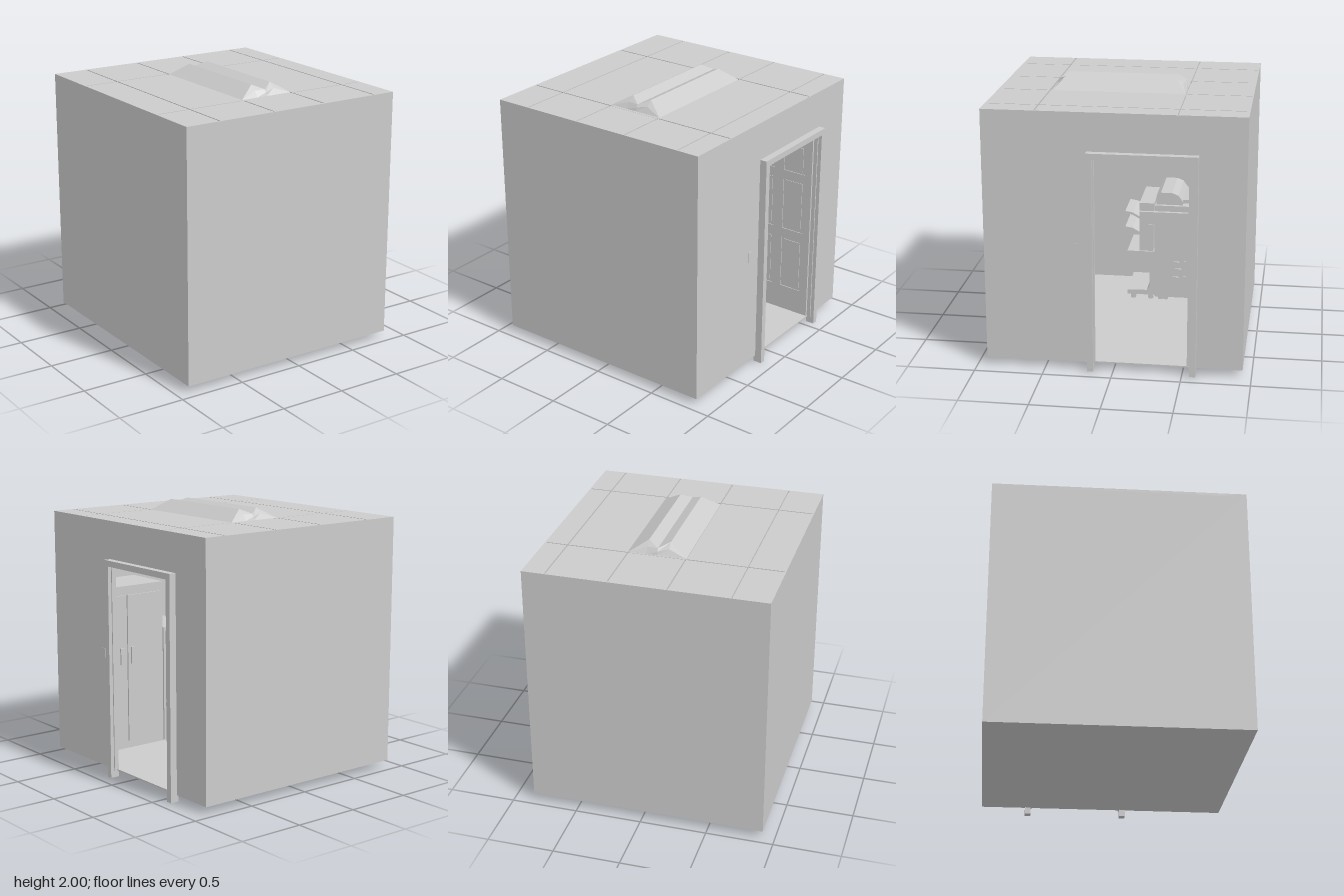
import * as THREE from 'three';

const grey = new THREE.MeshStandardMaterial({ color: 0xcccccc, flatShading: true, side: THREE.DoubleSide });

function add(parent, name, geo) {
  const m = new THREE.Mesh(geo, grey);
  m.name = name;
  parent.add(m);
  return m;
}

// Box given by its limits on each axis
function box(parent, name, x0, x1, y0, y1, z0, z1) {
  const m = add(parent, name, new THREE.BoxGeometry(x1 - x0, y1 - y0, z1 - z0));
  m.position.set((x0 + x1) / 2, (y0 + y1) / 2, (z0 + z1) / 2);
  return m;
}

// Outline in (z, y), extruded from x0 to x1
function profile(parent, name, pts, x0, x1) {
  const shape = new THREE.Shape(pts.map(([z, y]) => new THREE.Vector2(z, y)));
  const m = add(parent, name, new THREE.ExtrudeGeometry(shape, { depth: x1 - x0, bevelEnabled: false }));
  m.rotation.y = -Math.PI / 2;
  m.position.x = x1;
  return m;
}

function group(parent, name) {
  const g = new THREE.Group();
  g.name = name;
  parent.add(g);
  return g;
}

// Upside-down U around the doorway
const arch = (zA, zB, y0, y1, w) => [
  [zA, y0], [zA + w, y0], [zA + w, y1 - w], [zB - w, y1 - w], [zB - w, y0], [zB, y0], [zB, y1], [zA, y1],
];

const W0 = -0.91, W1 = 0.855, D = 0.935, FLOOR = 0.05, TOP = 1.92, T = 0.01;

function buildShell(root) {
  const g = group(root, 'room');
  box(g, 'floor', W0, W1, FLOOR, FLOOR + T, -D, D);
  box(g, 'frontWall', W0, W1, FLOOR, TOP, D - T, D);
  box(g, 'backWall', W0, W1, FLOOR, TOP, -D, -D + T);
  box(g, 'rightWall', W0, W0 + T, FLOOR, TOP, -D, D);
  profile(g, 'doorWall', [
    [-D, FLOOR], [-0.56, FLOOR], [-0.56, 1.61], [0.15, 1.61], [0.15, FLOOR], [D, FLOOR], [D, TOP], [-D, TOP],
  ], W1 - T, W1);
  box(g, 'lightSwitch', W1, W1 + 0.004, 0.88, 0.96, 0.262, 0.308);
}

function buildCeiling(root) {
  const g = group(root, 'ceiling');
  const xs = [W0, -0.642, -0.192, 0.232, 0.684, W1], zs = [-D, -0.452, 0.552, D], gap = 0.005;
  for (let i = 0; i < 5; i++) {
    for (let j = 0; j < 3; j++) {
      if (i === 2 && j === 1) continue; // bay of the light
      box(g, 'ceilingTile',
        xs[i] + (i ? gap : 0), xs[i + 1] - (i < 4 ? gap : 0), TOP - 0.02, TOP,
        zs[j] + (j ? gap : 0), zs[j + 1] - (j < 2 ? gap : 0));
    }
  }
  for (const x of xs.slice(1, 5)) box(g, 'longGridBar', x - 0.012, x + 0.012, 1.892, 1.902, -D, D);
  for (const z of zs.slice(1, 3)) box(g, 'crossGridBar', W0, W1, 1.893, 1.903, z - 0.012, z + 0.012);

  // Light housing: twin-ridged roof with sloping ends
  const px = [-0.192, -0.06, 0.02, 0.1, 0.232], rise = [0, 0.08, 0.045, 0.08, 0];
  const inset = [0, 0.078, 0.024, 0.078, 0], z0 = -0.443, z1 = 0.535;
  const pos = [], idx = [];
  const rows = [[z0, 0, 0], [z0, 0.55, 0.4], [z0, 1, 1], [z1, 1, -1], [z1, 0.55, -0.4], [z1, 0, 0]];
  for (const [z, h, s] of rows) px.forEach((x, i) => pos.push(x, TOP + rise[i] * h, z + inset[i] * s));
  for (let r = 0; r < rows.length - 1; r++) {
    for (let i = 0; i < 4; i++) {
      const a = r * 5 + i, b = a + 5;
      idx.push(a, b, a + 1, a + 1, b, b + 1);
    }
  }
  const geo = new THREE.BufferGeometry();
  geo.setAttribute('position', new THREE.Float32BufferAttribute(pos, 3));
  geo.setIndex(idx);
  geo.computeVertexNormals();
  add(g, 'lightHousing', geo);
  box(g, 'lightLens', px[0], px[4], TOP - 0.02, TOP - 0.005, z0, z1 + 0.01);
}

function buildDoor(root) {
  const g = group(root, 'doorway');
  profile(g, 'doorCasing', arch(-0.6, 0.187, 0, 1.64, 0.044), 0.84, 0.908);
  profile(g, 'doorStop', arch(-0.557, 0.144, FLOOR, 1.605, 0.01), 0.845, 0.88);

  // Leaf standing open into the room
  const leaf = group(g, 'doorLeaf');
  const z0 = -0.552, z1 = -0.532, x0 = 0.22, x1 = 0.85;
  box(leaf, 'doorCore', x0, x1, 0.055, 1.59, z0 + 0.006, z1 - 0.006);
  const cols = [[0.335, 0.525], [0.605, 0.79]], rows = [[0.26, 0.69], [0.76, 1.19], [1.25, 1.48]];
  const stiles = [[x0, cols[0][0]], [cols[0][1], cols[1][0]], [cols[1][1], x1]];
  for (const [a, b] of stiles) box(leaf, 'doorStile', a, b, 0.055, 1.59, z0, z1);
  const rails = [[0.055, 0.26], [0.69, 0.76], [1.19, 1.25], [1.48, 1.59]];
  for (const [a, b] of cols) {
    for (const [c, d] of rails) box(leaf, 'doorRail', a, b, c, d, z0, z1);
    for (const [c, d] of rows) box(leaf, 'doorPanel', a + 0.02, b - 0.02, c + 0.02, d - 0.02, z0 + 0.001, z1 - 0.001);
  }
  for (const z of [z0 - 0.014, z1 + 0.014]) {
    const knob = add(leaf, 'doorKnob', new THREE.SphereGeometry(0.018, 12, 8));
    knob.position.set(x0 + 0.04, 0.82, z);
  }
}

function buildCopier(root) {
  const g = group(root, 'copier');
  const a = -0.84, b = -0.36;
  box(g, 'copierBody', a, b, 0.11, 0.72, -0.64, -0.155);
  box(g, 'copierBase', a + 0.02, b - 0.02, 0.095, 0.11, -0.62, -0.16);
  for (const y of [0.235, 0.3, 0.363]) {
    box(g, 'ventFrame', b, b + 0.006, y, y + 0.05, -0.41, -0.292);
    box(g, 'ventCover', b, b + 0.009, y + 0.006, y + 0.044, -0.404, -0.298);
  }
  // Sorter on its C-shaped stand
  profile(g, 'sorterStand', [
    [-0.155, 0.1], [0.068, 0.1], [0.068, 0.135], [-0.09, 0.14], [-0.113, 0.17], [-0.113, 0.41],
    [-0.1, 0.427], [0.068, 0.427], [0.068, 0.47], [-0.155, 0.47],
  ], a + 0.04, b - 0.04);
  profile(g, 'sorterHead', [
    [-0.145, 0.49], [-0.033, 0.49], [-0.033, 0.815], [-0.49, 0.815], [-0.5, 0.73],
    [-0.4, 0.72], [-0.145, 0.72],
  ], a, b);
  box(g, 'sorterPanel', b, b + 0.005, 0.6, 0.715, -0.14, -0.075);
  box(g, 'sorterTop', a + 0.03, b - 0.01, 0.82, 0.885, -0.15, -0.033);
  for (const y of [0.745, 0.615]) {
    profile(g, 'outputTray', [[-0.033, y], [0.03, y + 0.035], [0.09, y + 0.045], [0.09, y + 0.033],
      [0.03, y + 0.015], [-0.033, y - 0.02]], a + 0.08, b - 0.08);
  }
  // Scanner, feeder and controls
  box(g, 'scanner', a, b, 0.825, 0.872, -0.62, -0.157);
  profile(g, 'documentFeeder', [[-0.165, 0.872], [-0.165, 0.94], [-0.2, 0.97], [-0.29, 0.97],
    [-0.34, 0.95], [-0.375, 0.9], [-0.375, 0.872]], a + 0.03, b - 0.03);
  profile(g, 'feederTray', [[-0.36, 0.88], [-0.36, 0.905], [-0.47, 0.915], [-0.6, 0.95],
    [-0.6, 0.935], [-0.48, 0.88]], a + 0.06, b - 0.06);
  profile(g, 'sideTray', [[-0.48, 0.8], [-0.5, 0.86], [-0.64, 0.88], [-0.64, 0.83], [-0.53, 0.77]], a + 0.1, b - 0.1);

  for (const x of [a + 0.07, b - 0.07]) {
    for (const z of [0.02, -0.12, -0.2, -0.24, -0.55]) {
      const wheel = add(g, 'caster', new THREE.CylinderGeometry(0.023, 0.023, 0.03, 12));
      wheel.rotation.z = Math.PI / 2;
      wheel.position.set(x, 0.078, z);
    }
  }
}

function buildCabinets(root) {
  const g = group(root, 'cabinets');
  // Tall two-door cabinet by the front wall
  box(g, 'tallCabinet', 0.13, 0.82, 0.06, 1.35, 0.54, 0.92);
  for (const [a, b, h] of [[0.15, 0.47, 0.41], [0.48, 0.8, 0.51]]) {
    box(g, 'cabinetDoor', a, b, 0.12, 1.28, 0.528, 0.54);
    box(g, 'cabinetHandle', h, h + 0.035, 0.74, 0.87, 0.515, 0.528);
  }
  // Low cabinet beside it
  box(g, 'lowCabinet', -0.35, 0.12, 0.06, 0.98, 0.54, 0.92);
  for (let i = 0; i < 3; i++) {
    box(g, 'drawer', -0.33, 0.1, 0.1 + i * 0.29, 0.37 + i * 0.29, 0.528, 0.54);
    box(g, 'drawerHandle', -0.19, -0.04, 0.26 + i * 0.29, 0.285 + i * 0.29, 0.515, 0.528);
  }
}

export function createModel() {
  const root = new THREE.Group();
  root.name = 'copyRoom';
  buildShell(root);
  buildCeiling(root);
  buildDoor(root);
  buildCopier(root);
  buildCabinets(root);
  return root;
}
